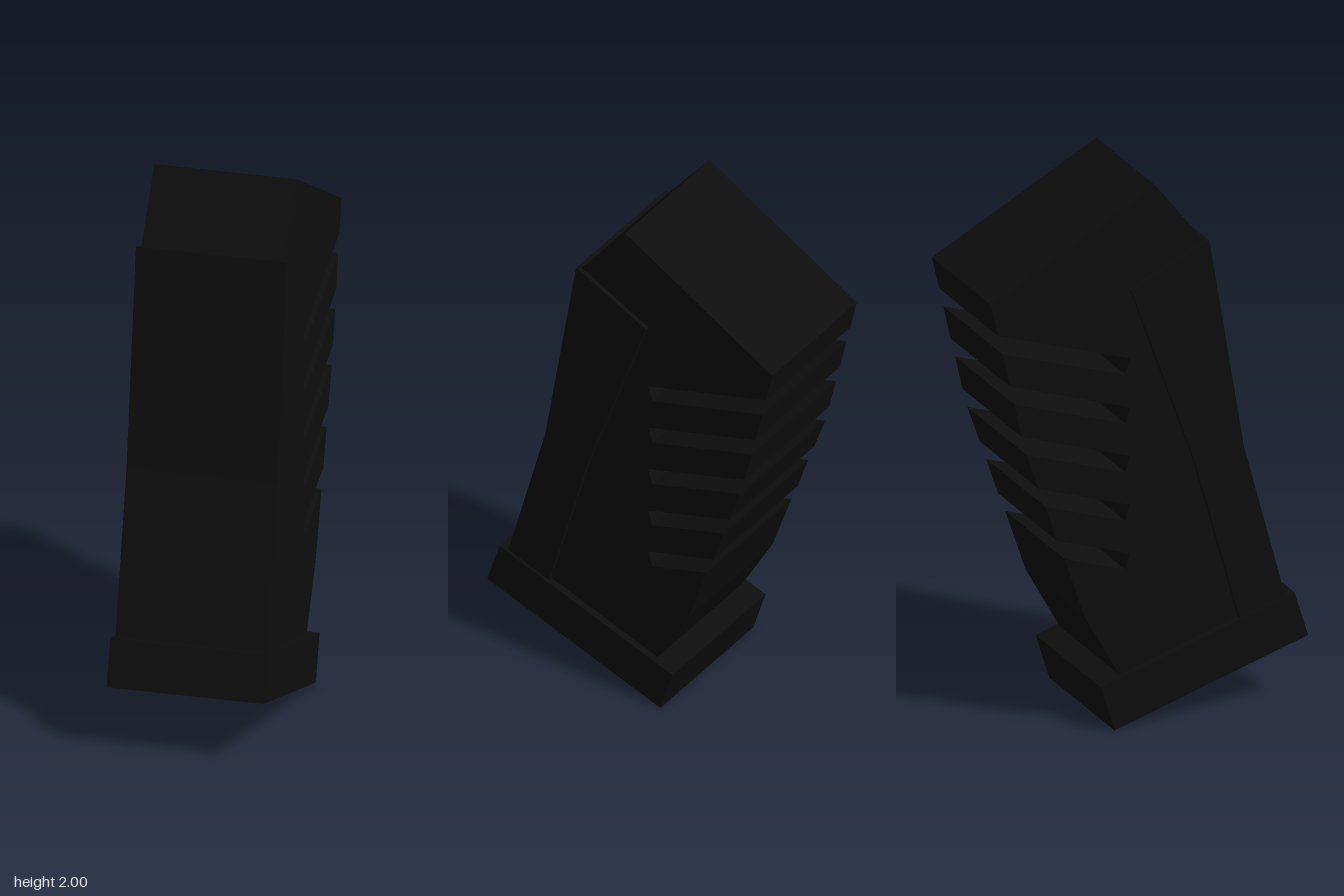
import * as THREE from 'three';

const black = new THREE.MeshStandardMaterial({ color: 0x0d0d0d });
black.name = 'matte black';

// Extrudes a side profile of [z, y] points across the width, centred on x = 0
function slab(name, points, halfWidth) {
  const shape = new THREE.Shape(points.map(([z, y]) => new THREE.Vector2(z, y)));
  const geometry = new THREE.ExtrudeGeometry(shape, { depth: halfWidth * 2, bevelEnabled: false });
  geometry.translate(0, 0, -halfWidth);
  geometry.rotateY(-Math.PI / 2);
  const mesh = new THREE.Mesh(geometry, black);
  mesh.name = name;
  return mesh;
}

export function createModel() {
  const group = new THREE.Group();
  group.name = 'curvedCase';

  // Slanted grooves cut through the rear: outer top, outer bottom, inner top height
  const grooves = [
    [[-0.57, 1.53], [-0.553, 1.46], 1.37],
    [[-0.525, 1.335], [-0.508, 1.265], 1.187],
    [[-0.48, 1.14], [-0.462, 1.07], 1.005],
    [[-0.415, 0.935], [-0.39, 0.865], 0.823],
    [[-0.345, 0.73], [-0.318, 0.66], 0.642],
  ];
  const rear = [];
  for (const [top, bottom, y] of grooves) {
    rear.push(top, [-0.068, y], [-0.086, y - 0.058], bottom);
  }

  // Inner body with the ribbed back
  group.add(slab('ribbedBody', [
    [0.03, 2], [-0.597, 1.65], ...rear,
    [-0.24, 0.43], [-0.1, 0.18], [0.49, 0.36], [0.345, 0.98], [0.215, 1.765],
  ], 0.256));

  // Wider sleeve wrapped around the front
  group.add(slab('frontSleeve', [
    [0.228, 1.77], [0.212, 1.765], [-0.07, 1.63], [0.17, 0.96], [0.35, 0.32],
    [0.525, 0.37], [0.36, 0.98],
  ], 0.272));

  // Tilted foot plate
  group.add(slab('basePlate', [
    [0.548, 0.41], [-0.19, 0.168], [-0.138, 0], [0.6, 0.243],
  ], 0.282));

  return group;
}
